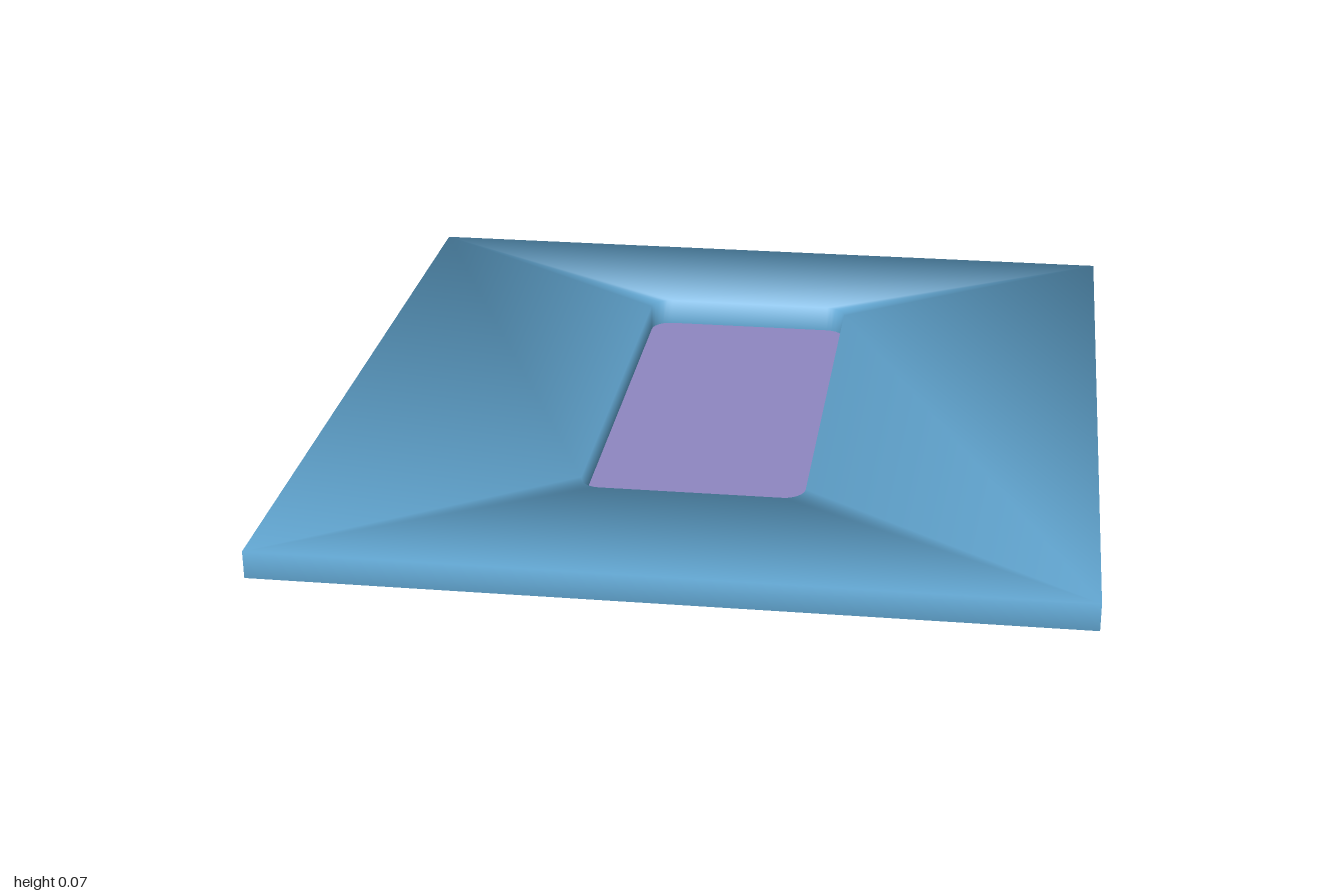
import * as THREE from 'three';

const HALF_X = 0.935, HALF_Z = 1, HEIGHT = 0.066;          // outer plate
const HOLE_X = 0.263, HOLE_Z = 0.586, RADIUS = 0.05;       // recessed tray
const ARC_STEPS = 6;

// Rounded rectangle of the recess; each point remembers its corner and its outward direction
function recessOutline() {
  const points = [];
  [[1, 1], [-1, 1], [-1, -1], [1, -1]].forEach(([sx, sz], corner) => {
    for (let i = 0; i <= ARC_STEPS; i++) {
      const a = (corner + i / ARC_STEPS) * Math.PI / 2;
      const dx = Math.cos(a), dz = Math.sin(a);
      points.push({
        sx, sz, dx, dz,
        x: sx * (HOLE_X - RADIUS) + RADIUS * dx,
        z: sz * (HOLE_Z - RADIUS) + RADIUS * dz,
      });
    }
  });
  return points;
}

// One open shell: outer wall, top face, then the wall down into the recess
function shellGeometry(outline) {
  const rings = [
    (p) => [p.sx * HALF_X, 0, p.sz * HALF_Z, p.sx, 0, p.sz],
    (p) => [p.sx * HALF_X, HEIGHT, p.sz * HALF_Z, p.sx, 1, p.sz],
    (p) => [p.x, HEIGHT, p.z, -p.dx, 1, -p.dz],
    (p) => [p.x, 0, p.z, -p.dx, 0, -p.dz],
  ];
  const positions = [], normals = [], index = [], n = outline.length;
  rings.forEach((ring, r) => outline.forEach((p, i) => {
    const [x, y, z, nx, ny, nz] = ring(p);
    positions.push(x, y, z);
    normals.push(...new THREE.Vector3(nx, ny, nz).normalize().toArray());
    if (r === rings.length - 1) return;
    const a = r * n + i, a2 = r * n + (i + 1) % n;
    index.push(a, a + n, a2, a + n, a2 + n, a2);
  }));
  const geometry = new THREE.BufferGeometry();
  geometry.setAttribute('position', new THREE.Float32BufferAttribute(positions, 3));
  geometry.setAttribute('normal', new THREE.Float32BufferAttribute(normals, 3));
  geometry.setIndex(index);
  return geometry;
}

export function createModel() {
  const blue = new THREE.MeshStandardMaterial({ color: 0x64aad6, side: THREE.DoubleSide });
  blue.name = 'blue';
  const purple = new THREE.MeshStandardMaterial({ color: 0x8f87c1, side: THREE.DoubleSide });
  purple.name = 'purple';

  const group = new THREE.Group();
  group.name = 'recessedPlate';
  const outline = recessOutline();

  // Smooth shaded surround, hollow underneath
  const surround = new THREE.Mesh(shellGeometry(outline), blue);
  surround.name = 'surround';

  // Flat floor of the recess
  const shape = new THREE.Shape(outline.map((p) => new THREE.Vector2(p.x, p.z)));
  const floor = new THREE.Mesh(new THREE.ShapeGeometry(shape).rotateX(-Math.PI / 2), purple);
  floor.name = 'recessFloor';

  group.add(surround, floor);
  return group;
}
